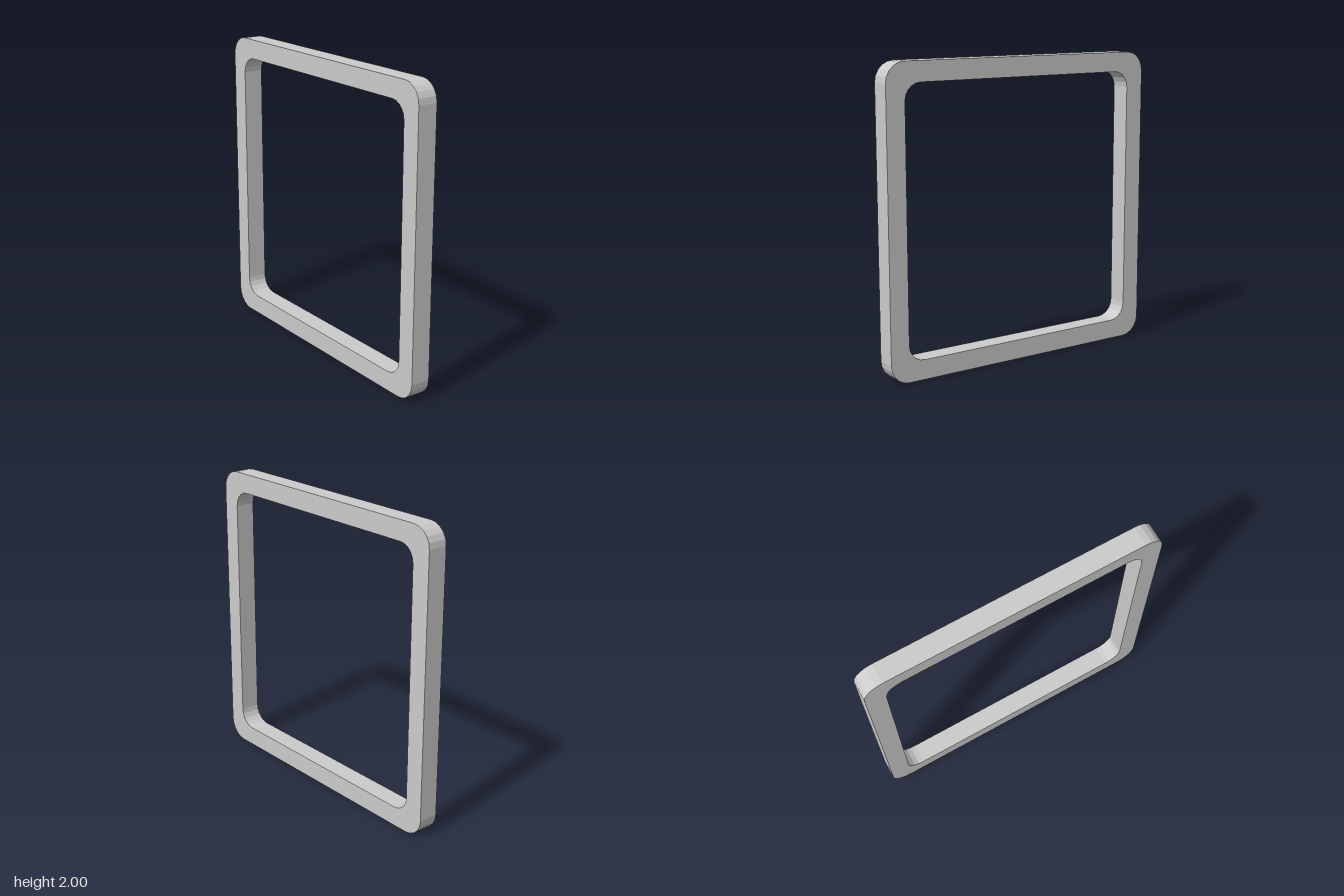
import * as THREE from 'three';

// Corner points of a centred square with faceted round corners
function roundedSquare(half, radius, steps) {
  const points = [];
  for (let corner = 0; corner < 4; corner++) {
    const mid = Math.PI / 4 + corner * Math.PI / 2;
    const cx = Math.sign(Math.cos(mid)) * (half - radius);
    const cy = Math.sign(Math.sin(mid)) * (half - radius);
    for (let i = 0; i <= steps; i++) {
      const a = (corner + i / steps) * Math.PI / 2;
      points.push(new THREE.Vector2(cx + radius * Math.cos(a), cy + radius * Math.sin(a)));
    }
  }
  return points;
}

export function createModel() {
  const group = new THREE.Group();
  group.name = 'squareFrame';

  const thickness = 0.134;
  const material = new THREE.MeshStandardMaterial({ color: 0xcccccc, flatShading: true });

  // Square ring: rounded outer edge with a rounded opening
  const outline = new THREE.Shape(roundedSquare(1, 0.13, 5));
  outline.holes.push(new THREE.Path(roundedSquare(0.87, 0.11, 5)));

  const geometry = new THREE.ExtrudeGeometry(outline, { depth: thickness, bevelEnabled: false });
  geometry.translate(0, 0, -thickness / 2);
  geometry.rotateY(Math.PI / 2);

  const frame = new THREE.Mesh(geometry, material);
  frame.name = 'frame';
  frame.position.y = 1;
  group.add(frame);

  return group;
}
